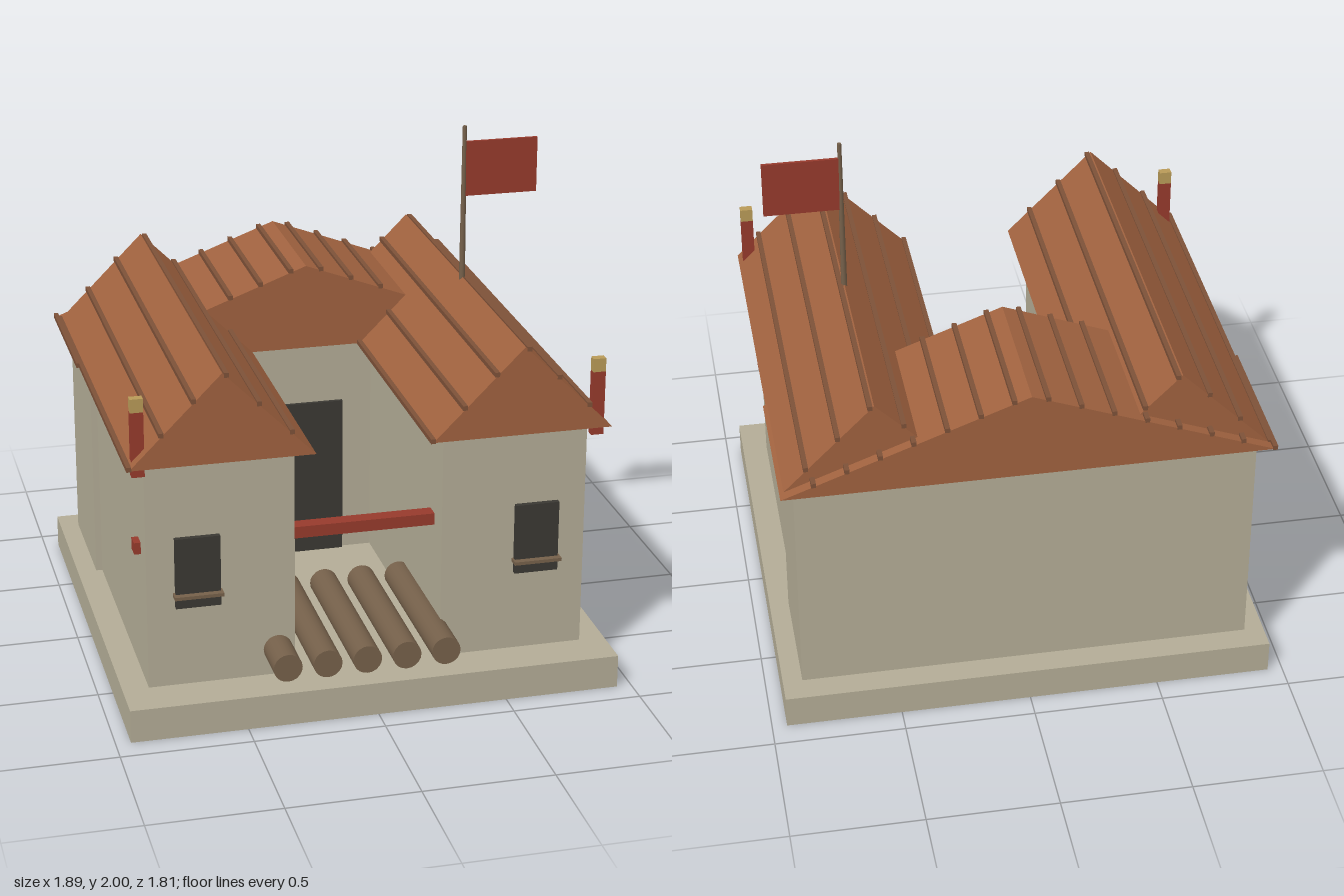
import * as THREE from 'three';

const mat = (color) => new THREE.MeshStandardMaterial({ color });
const M = {
  wall: mat(0xb3ac96),
  roof: mat(0xa0623f),
  rib: mat(0x7d5138),
  wood: mat(0x75604a),
  red: mat(0x963a2c),
  dark: mat(0x3a3833),
  gold: mat(0xb89a58),
};

function add(parent, name, geometry, material, x = 0, y = 0, z = 0) {
  const mesh = new THREE.Mesh(geometry, material);
  mesh.name = name;
  mesh.position.set(x, y, z);
  parent.add(mesh);
  return mesh;
}

// box given by its extents on each axis
function box(parent, name, material, [x0, x1], [y0, y1], [z0, z1]) {
  return add(parent, name, new THREE.BoxGeometry(x1 - x0, y1 - y0, z1 - z0), material,
    (x0 + x1) / 2, (y0 + y1) / 2, (z0 + z1) / 2);
}

const EAVE = 1.045, RIDGE = 1.39, FLOOR = 0.13;

// solid gable roof along z, with battens laid over both slopes
function gableRoof(parent, name, cx, half, z0, z1, ribs, step) {
  const roof = new THREE.Group();
  roof.name = name;
  roof.position.x = cx;
  parent.add(roof);
  const gable = new THREE.Shape([
    new THREE.Vector2(-half, EAVE), new THREE.Vector2(half, EAVE), new THREE.Vector2(0, RIDGE),
  ]);
  const depth = z1 - z0;
  add(roof, 'roofBody', new THREE.ExtrudeGeometry(gable, { depth, bevelEnabled: false }), M.roof, 0, 0, z0);
  const ribGeometry = new THREE.BoxGeometry(0.018, 0.018, depth + 0.004);
  for (let i = 0; i < ribs; i++) {
    const x = -half + i * step;
    const y = RIDGE - (RIDGE - EAVE) * Math.abs(x) / half;
    add(roof, 'roofBatten', ribGeometry, M.rib, x, y + 0.006, (z0 + z1) / 2);
  }
}

export function createModel() {
  const model = new THREE.Group();
  model.name = 'courtyardHouse';

  // plinth and rear hall
  box(model, 'plinth', M.wall, [-0.943, 0.943], [0, FLOOR], [-0.905, 0.903]);
  box(model, 'rearHall', M.wall, [-0.868, 0.868], [FLOOR, EAVE], [-0.805, -0.33]);
  gableRoof(model, 'rearRoof', 0, 0.92, -0.873, -0.27, 15, 0.1227);
  box(model, 'door', M.dark, [-0.163, 0.163], [FLOOR, 0.785], [-0.34, -0.315]);

  // the two side wings
  for (const s of [-1, 1]) {
    const wing = new THREE.Group();
    wing.name = s > 0 ? 'leftWing' : 'rightWing';
    model.add(wing);
    const span = (a, b) => (s > 0 ? [a, b] : [-b, -a]);
    box(wing, 'wingWalls', M.wall, span(0.283, 0.843), [FLOOR, EAVE], [-0.4, 0.735]);
    gableRoof(wing, 'wingRoof', s * 0.565, 0.345, -0.832, 0.82, 6, 0.12);
    box(wing, 'window', M.dark, span(0.567, 0.737), [0.45, 0.73], [0.725, 0.755]);
    box(wing, 'windowSill', M.wood, span(0.56, 0.745), [0.495, 0.508], [0.735, 0.78]);
    box(wing, 'cornerPost', M.red, span(0.845, 0.893), [1.0, 1.25], [0.745, 0.777]);
    box(wing, 'postCap', M.gold, span(0.845, 0.893), [1.25, 1.302], [0.745, 0.777]);
  }

  // beam passing through both wings
  box(model, 'crossBeam', M.red, [-0.868, 0.868], [0.632, 0.678], [0.577, 0.635]);

  // row of logs in the courtyard
  const log = new THREE.CylinderGeometry(0.055, 0.055, 0.695, 20).rotateX(Math.PI / 2);
  for (let i = 0; i < 5; i++) add(model, 'log', log, M.wood, -0.349 + i * 0.152, 0.235, 0.558);

  // flag on the left wing's ridge
  add(model, 'flagPole', new THREE.CylinderGeometry(0.008, 0.012, 0.64, 10), M.wood, 0.565, 1.68, -0.003);
  box(model, 'flag', M.red, [0.57, 0.858], [1.72, 1.938], [-0.009, 0.003]);

  return model;
}
